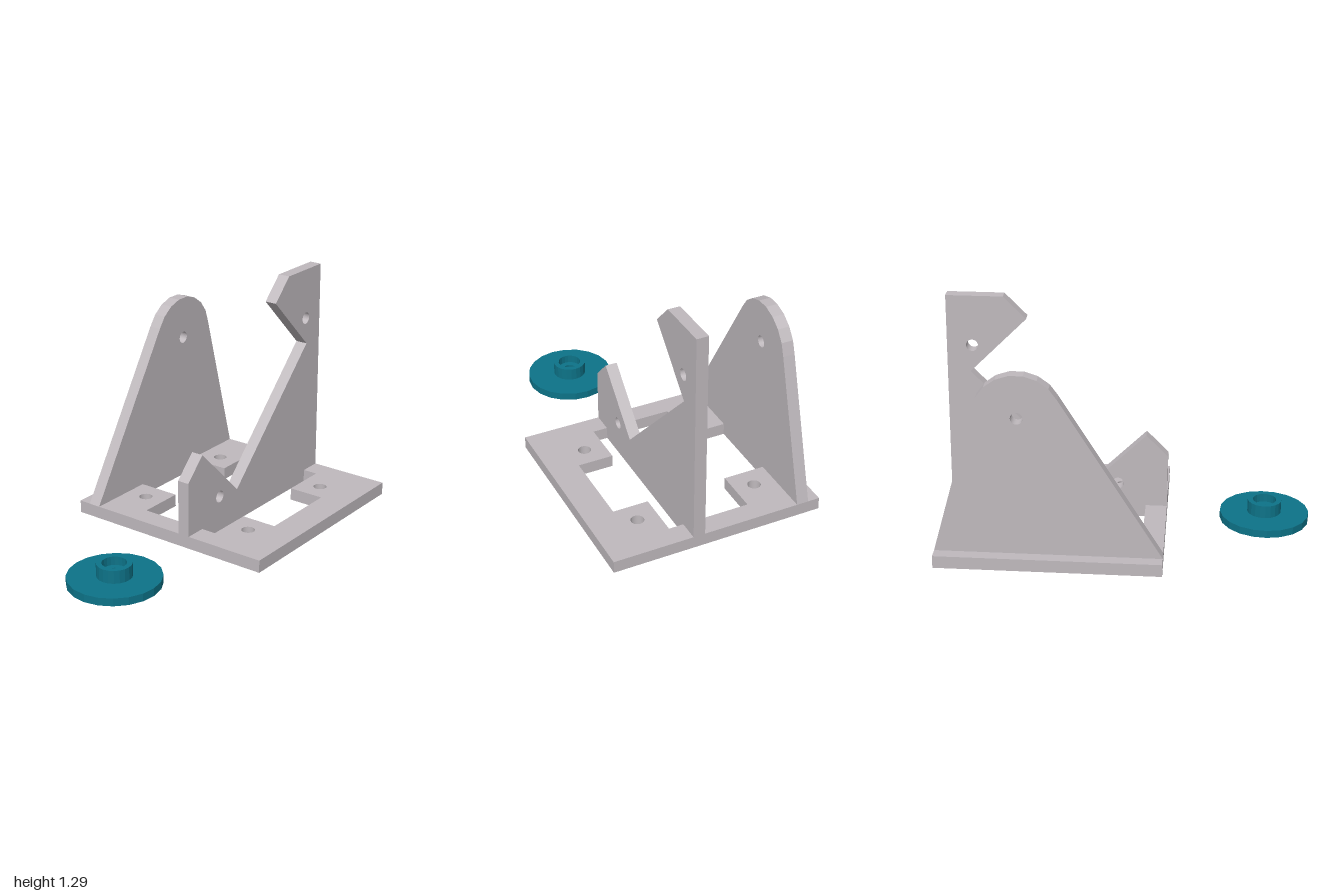
import * as THREE from 'three';

const grey = new THREE.MeshStandardMaterial({ color: 0xbfb9bd });
grey.name = 'warm grey';
const teal = new THREE.MeshStandardMaterial({ color: 0x0d7388 });
teal.name = 'teal';

const HALF = 0.61;    // half side of the square base
const BASE = 0.07;    // base thickness
const PLATE = 0.068;  // upright plate thickness

const polygon = (points) => new THREE.Shape(points.map(([x, y]) => new THREE.Vector2(x, y)));

function drill(shape, x, y, r) {
  const hole = new THREE.Path();
  hole.absarc(x, y, r, 0, Math.PI * 2, true);
  shape.holes.push(hole);
}

function extrude(shape, depth) {
  return new THREE.ExtrudeGeometry(shape, { depth, bevelEnabled: false, curveSegments: 20 });
}

function addMesh(parent, name, geometry, material) {
  const mesh = new THREE.Mesh(geometry, material);
  mesh.name = name;
  parent.add(mesh);
  return mesh;
}

// Square base with a cross-shaped opening, bridged under the front plate
function baseGeometry() {
  const shape = polygon([[-HALF, -HALF], [HALF, -HALF], [HALF, HALF], [-HALF, HALF]]);
  // each opening is T-shaped: wide from za to zb, narrow from zb to zc
  const opening = (za, zb, zc) => {
    const right = [[0.49, za], [0.49, zb], [0.23, zb], [0.23, zc]];
    const left = right.map(([x, z]) => [-x, z]).reverse();
    shape.holes.push(polygon([...right, ...left].map(([x, z]) => [x, -z])));
  };
  opening(0.083, -0.235, -0.474);
  opening(0.15, 0.235, 0.44);
  for (const x of [-0.35, 0.35]) for (const z of [-0.353, 0.353]) drill(shape, x, z, 0.037);
  return extrude(shape, BASE).rotateX(-Math.PI / 2);
}

// Tapering upright with a round top
function roundPlateGeometry() {
  const cx = 0.155, cy = 0.85, r = 0.237;
  const points = [[-HALF, BASE], [HALF, BASE]];
  for (let k = 0; k <= 8; k++) {
    const a = THREE.MathUtils.degToRad(9 + 18 * k);
    points.push([cx + r * Math.cos(a), cy + r * Math.sin(a)]);
  }
  const shape = polygon(points);
  drill(shape, cx, cy, 0.033);
  return extrude(shape, PLATE);
}

// Upright with a large slanted notch
function notchedPlateGeometry() {
  const shape = polygon([
    [-HALF, BASE], [HALF, BASE], [HALF, 1.29], [0.297, 1.29], [0.173, 1.165],
    [0.484, 0.853], [-0.175, 0.19], [-0.488, 0.5], [-HALF, 0.377],
  ]);
  drill(shape, -0.333, 0.203, 0.033);
  drill(shape, 0.472, 1.005, 0.033);
  return extrude(shape, PLATE);
}

// Flanged washer with a stepped bore, faceted
function washerGeometry() {
  const profile = [
    [0.033, 0.03], [0.057, 0.03], [0.057, 0], [0.1, 0], [0.1, 0.012], [0.248, 0.012],
    [0.248, 0.055], [0.094, 0.055], [0.094, 0.127], [0.065, 0.127], [0.065, 0.08],
    [0.033, 0.08], [0.033, 0.03],
  ].map(([x, y]) => new THREE.Vector2(x, y));
  const geometry = new THREE.LatheGeometry(profile, 20).toNonIndexed();
  geometry.computeVertexNormals();
  return geometry;
}

export function createModel() {
  const model = new THREE.Group();
  model.name = 'bracketAndWasher';

  const bracket = new THREE.Group();
  bracket.name = 'bracket';
  bracket.position.set(0.157, 0, -0.066);
  bracket.rotation.y = THREE.MathUtils.degToRad(33.5);
  model.add(bracket);

  addMesh(bracket, 'basePlate', baseGeometry(), grey);
  addMesh(bracket, 'roundedBackPlate', roundPlateGeometry(), grey).position.z = -0.542;
  addMesh(bracket, 'notchedFrontPlate', notchedPlateGeometry(), grey).position.z = 0.083;

  addMesh(model, 'flangedWasher', washerGeometry(), teal).position.set(-0.752, 0, 0.655);
  return model;
}
